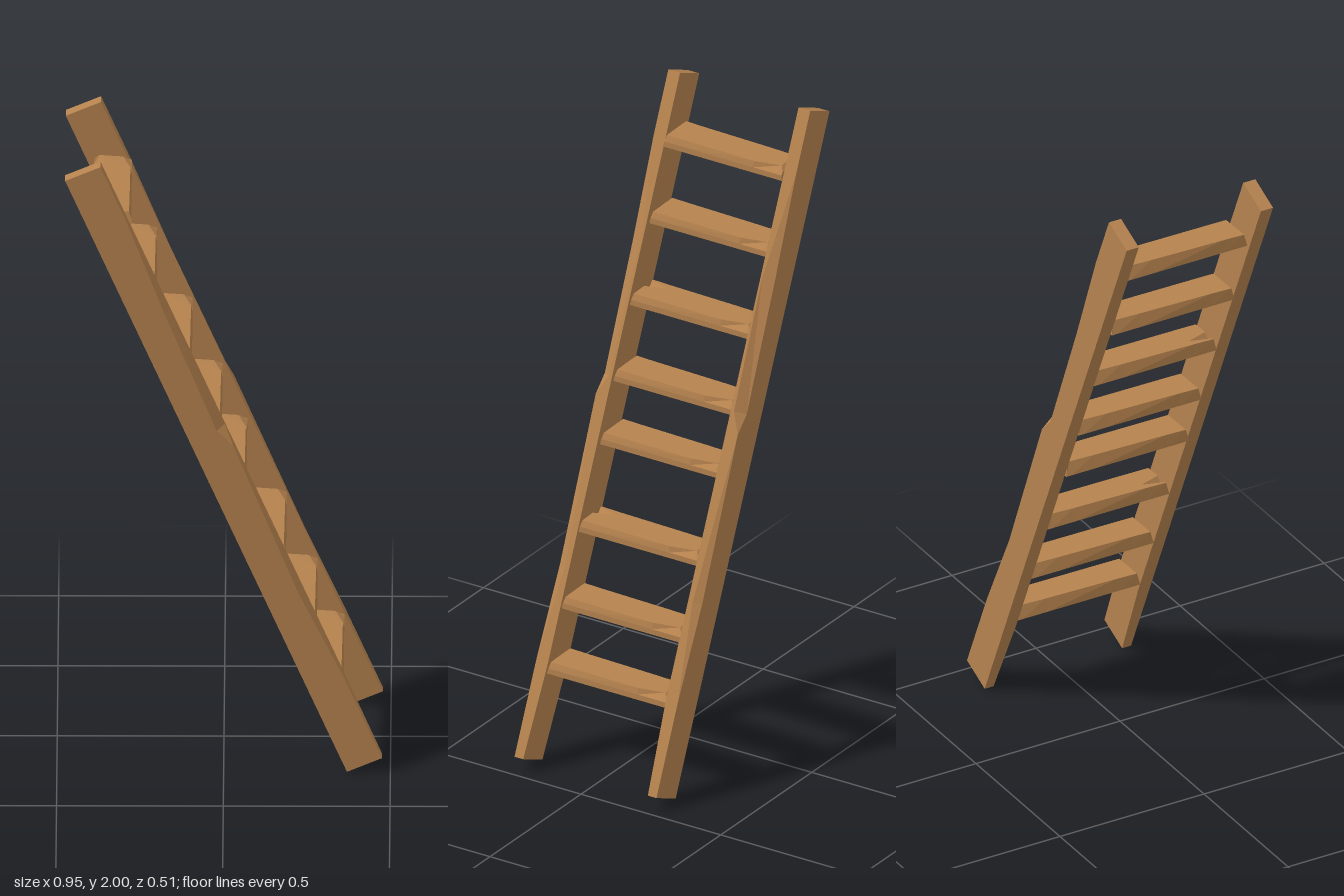
import * as THREE from 'three';

const wood = new THREE.MeshStandardMaterial({ color: 0xb5824e, flatShading: true });

// Joins cross-sections (rings of [x, y, z]) into a closed, faceted solid.
function loft(name, rings) {
  const tris = [];
  const n = rings[0].length;
  for (let r = 0; r < rings.length - 1; r++) {
    for (let i = 0; i < n; i++) {
      const j = (i + 1) % n;
      const a = rings[r][i], b = rings[r][j], c = rings[r + 1][j], d = rings[r + 1][i];
      tris.push([a, b, c], [a, c, d]);
    }
  }
  const first = rings[0], last = rings[rings.length - 1];
  for (let i = 1; i < n - 1; i++) {
    tris.push([first[0], first[i + 1], first[i]], [last[0], last[i], last[i + 1]]);
  }
  // Turn all faces outward, whichever way the rings run
  let volume = 0;
  for (const [a, b, c] of tris) {
    volume += new THREE.Vector3(...a).dot(new THREE.Vector3(...b).cross(new THREE.Vector3(...c)));
  }
  if (volume < 0) tris.forEach((t) => t.reverse());
  const geometry = new THREE.BufferGeometry();
  geometry.setAttribute('position', new THREE.Float32BufferAttribute(tris.flat(2), 3));
  geometry.computeVertexNormals();
  const mesh = new THREE.Mesh(geometry, wood);
  mesh.name = name;
  return mesh;
}

// Leaning side rail with chips hewn from its upper outer edge; side is +1 or -1 in z.
function rail(name, side) {
  // height on the upper edge, chip depth, chip width, inner inset
  const stations = [
    [0.05, 0, 0, 0.011],
    [0.32, 0, 0, 0],
    [0.60, 0.014, 0.026, 0],
    [1.08, 0, 0, 0],
    [1.14, 0.026, 0.03, 0],
    [1.52, 0.016, 0.036, 0],
    [1.82, 0, 0, 0],
    [2.0, 0, 0, 0],
  ];
  const outer = 0.254, inner = 0.212, half = 0.0575;
  return loft(name, stations.map(([y, depth, cut, inset]) => {
    const t = (y - 0.05) / 1.95;
    const at = (u, z) => [0.4225 - 0.845 * t + 0.918 * u, 0.025 + 1.95 * t + 0.397 * u, side * z];
    return [
      at(-half, inner + inset),
      at(-half, outer),
      at(half - depth, outer),
      at(half, outer - cut),
      at(half, inner + inset),
    ];
  }));
}

// Flat tread with slanted ends, a shaved front edge and an optional V-shaped split.
function rung(name, x, y, split) {
  // z of base, z of top, left inset, right inset, right drop, split width, split depth
  const stations = [
    [0.213, 0.203, 0.002, 0.007, 0.002, split ? 0.022 : 0.002, split ? 0.024 : 0],
    [0.137, 0.137, 0.005, 0.006, 0.002, 0.002, 0],
    [-0.11, -0.11, 0.012, 0.004, 0.002, 0.002, 0],
    [-0.195, -0.195, 0.016, 0.026, 0.004, 0.002, 0],
    [-0.213, -0.208, 0.004, 0.012, 0.016, 0.002, 0.014],
  ];
  return loft(name, stations.map(([zb, zt, left, right, drop, w, depth], k) => {
    const top = k === 4 ? 0.026 : 0.04;
    const floor = k === 4 ? top : top - depth;
    const p = (px, py, z) => [x + px, y + py, z];
    return [
      p(0.03, floor, zt),
      p(0.03 - w, top, zt),
      p(left, top, zt),
      p(0, 0, zb),
      p(0.115, 0, zb),
      p(0.115, 0.018, (zb + zt) / 2),
      p(0.115 - right, 0.04 - drop, zt),
      p(0.03 + w, top, zt),
    ];
  }));
}

export function createModel() {
  const ladder = new THREE.Group();
  ladder.name = 'ladder';
  ladder.add(rail('frontRail', 1), rail('backRail', -1));

  // Left edge and underside height of each rung, from the top down
  const rungs = [
    [-0.392, 1.79], [-0.316, 1.565], [-0.21, 1.335], [-0.12, 1.118],
    [-0.046, 0.937], [0.072, 0.693], [0.165, 0.475], [0.245, 0.29],
  ];
  rungs.forEach(([x, y], i) => ladder.add(rung(`rung${i + 1}`, x, y, i === 2 || i === 5)));
  return ladder;
}
